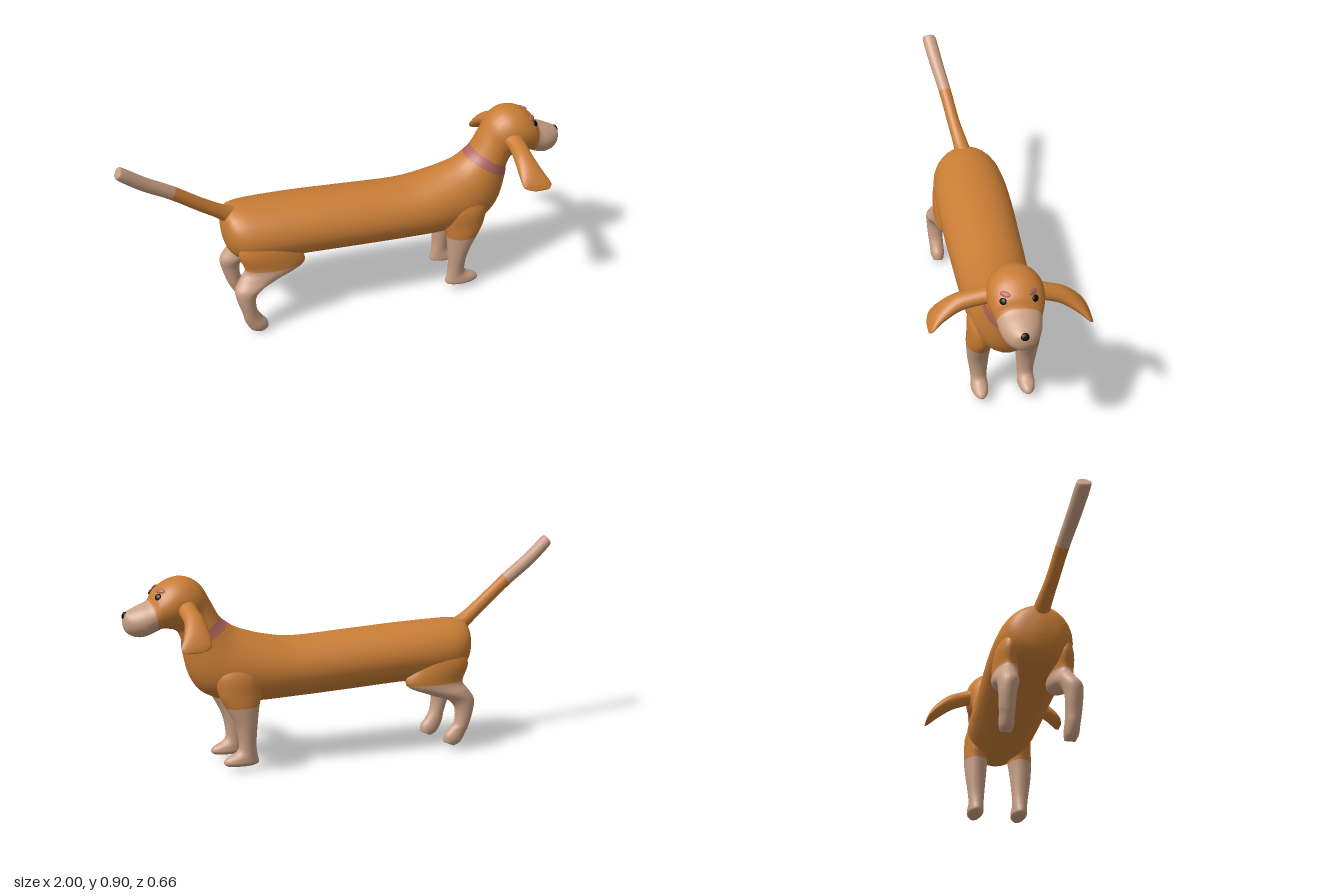
import * as THREE from 'three';

const flat = (color, name) => {
  const m = new THREE.MeshStandardMaterial({ color });
  m.name = name;
  return m;
};
const MID = -0.02; // z of the dog's middle plane
const SEGS = 28, SUBS = 5;

// Uniform Catmull-Rom between list entries
function blend(rows, i, t) {
  const at = (k) => rows[Math.min(Math.max(k, 0), rows.length - 1)];
  const [p, q, r, s] = [at(i - 1), at(i), at(i + 1), at(i + 2)];
  return q.map((_, k) => 0.5 * (2 * q[k] + (r[k] - p[k]) * t
    + (2 * p[k] - 5 * q[k] + 4 * r[k] - s[k]) * t * t
    + (3 * q[k] - p[k] - 3 * r[k] + s[k]) * t * t * t));
}

// Smooth skin over oval rings. Row: [x1, y1, x2, y2, halfWidth, z];
// the two points are opposite ends of the oval, widthDir its other axis.
// bands: [[firstRow, material], ...]
function loft(name, rows, bands, widthDir = [0, 0, 1]) {
  const pos = [], index = [], starts = [];
  const n = (rows.length - 1) * SUBS;
  for (let j = 0; j <= n; j++) {
    const i = Math.min(Math.floor(j / SUBS), rows.length - 2);
    const [x1, y1, x2, y2, w, z] = blend(rows, i, j / SUBS - i);
    for (let k = 0; k < SEGS; k++) {
      const a = (k / SEGS) * Math.PI * 2, c = Math.cos(a) / 2, s = Math.sin(a) * Math.max(w, 0.001);
      pos.push((x1 + x2) / 2 + (x1 - x2) * c + widthDir[0] * s,
        (y1 + y2) / 2 + (y1 - y2) * c + widthDir[1] * s, z + widthDir[2] * s);
    }
  }
  // End centres
  for (const r of [rows[0], rows[rows.length - 1]]) pos.push((r[0] + r[2]) / 2, (r[1] + r[3]) / 2, r[5]);
  const c0 = (n + 1) * SEGS;
  for (let k = 0; k < SEGS; k++) index.push(c0, (k + 1) % SEGS, k);
  for (let j = 0; j < n; j++) {
    starts.push(index.length);
    for (let k = 0; k < SEGS; k++) {
      const a = j * SEGS + k, b = j * SEGS + (k + 1) % SEGS;
      index.push(a, b, a + SEGS, b, b + SEGS, a + SEGS);
    }
  }
  for (let k = 0; k < SEGS; k++) index.push(c0 + 1, n * SEGS + k, n * SEGS + (k + 1) % SEGS);
  // Turn the faces outward if the volume is negative
  const P = (i) => new THREE.Vector3().fromArray(pos, i * 3);
  let volume = 0;
  for (let f = 0; f < index.length; f += 3) volume += P(index[f]).dot(P(index[f + 1]).cross(P(index[f + 2])));
  if (volume < 0) for (let f = 0; f < index.length; f += 3) [index[f], index[f + 1]] = [index[f + 1], index[f]];

  const geo = new THREE.BufferGeometry();
  geo.setAttribute('position', new THREE.Float32BufferAttribute(pos, 3));
  geo.setIndex(index);
  geo.computeVertexNormals();
  bands.forEach(([row], b) => {
    const from = b === 0 ? 0 : starts[row * SUBS];
    const to = b + 1 < bands.length ? starts[bands[b + 1][0] * SUBS] : index.length;
    geo.addGroup(from, to - from, b);
  });
  const mesh = new THREE.Mesh(geo, bands.map((b) => b[1]));
  mesh.name = name;
  return mesh;
}

// Thin oval patch facing along a normal
function patch(name, mat, p, normal, rx, ry, depth) {
  const mesh = new THREE.Mesh(new THREE.SphereGeometry(1, 16, 10), mat);
  mesh.name = name;
  mesh.scale.set(rx, ry, depth);
  mesh.position.set(...p);
  mesh.lookAt(p[0] + normal[0], p[1] + normal[1], p[2] + normal[2]);
  return mesh;
}

export function createModel() {
  const coat = flat(0xc97d35, 'orange coat');
  const pale = flat(0xc99f84, 'pale fur');
  const pink = flat(0xb0645c, 'dusty pink');
  const black = flat(0x0c0b0a, 'black');
  const dog = new THREE.Group();
  dog.name = 'dog';

  // Trunk, neck, head and muzzle in one skin, with the collar as a band
  const trunk = [
    [-0.553, 0.48, -0.55, 0.43, 0.02], [-0.54, 0.55, -0.525, 0.36, 0.10],
    [-0.49, 0.572, -0.46, 0.315, 0.145], [-0.38, 0.572, -0.37, 0.31, 0.162],
    [-0.2, 0.566, -0.2, 0.308, 0.166], [0, 0.556, 0, 0.298, 0.162],
    [0.25, 0.545, 0.27, 0.286, 0.155], [0.38, 0.563, 0.46, 0.283, 0.15],
    [0.46, 0.585, 0.63, 0.315, 0.138], [0.515, 0.605, 0.71, 0.39, 0.122],
    [0.555, 0.63, 0.745, 0.515, 0.106], [0.59, 0.662, 0.748, 0.563, 0.1],
    [0.63, 0.735, 0.765, 0.6, 0.095], [0.668, 0.797, 0.785, 0.612, 0.108],
    [0.73, 0.833, 0.8, 0.617, 0.115], [0.80, 0.826, 0.82, 0.62, 0.112],
    [0.86, 0.785, 0.84, 0.62, 0.1], [0.887, 0.742, 0.855, 0.613, 0.09],
    [0.93, 0.723, 0.91, 0.592, 0.08], [0.97, 0.705, 0.955, 0.596, 0.06],
    [0.99, 0.692, 0.985, 0.618, 0.036], [0.996, 0.668, 0.996, 0.65, 0.006],
  ].map((r) => [...r, MID]);
  dog.add(loft('bodyAndHead', trunk, [[0, coat], [10, pink], [11, coat], [17, pale]]));

  // Tail, swung a little to the left, with a pale tip
  dog.add(loft('tail', [
    [-0.46, 0.56, -0.5, 0.46, 0.04, -0.02], [-0.53, 0.585, -0.565, 0.53, 0.034, -0.01],
    [-0.63, 0.652, -0.66, 0.602, 0.028, 0.01], [-0.75, 0.742, -0.78, 0.693, 0.028, 0.03],
    [-0.87, 0.822, -0.9, 0.772, 0.03, 0.052], [-0.965, 0.895, -0.995, 0.85, 0.031, 0.07],
    [-0.978, 0.9, -1.0, 0.868, 0.02, 0.072],
  ], [[0, coat], [3, pale]]));

  for (const side of [1, -1]) {
    const label = side > 0 ? 'left' : 'right';
    const z = (s, k = 1) => MID + side * s * k;

    // Front leg
    dog.add(loft(label + 'FrontLeg', [
      [0.44, 0.5, 0.6, 0.5, 0.03, z(0.075)], [0.42, 0.42, 0.63, 0.42, 0.055, z(0.092)],
      [0.43, 0.34, 0.62, 0.34, 0.056, z(0.097)], [0.445, 0.285, 0.59, 0.28, 0.053, z(0.102)],
      [0.455, 0.2, 0.55, 0.2, 0.046, z(0.103)], [0.46, 0.12, 0.535, 0.12, 0.037, z(0.101)],
      [0.456, 0.075, 0.545, 0.085, 0.034, z(0.1)], [0.45, 0.05, 0.59, 0.06, 0.036, z(0.1)],
      [0.45, 0.034, 0.602, 0.04, 0.035, z(0.1)], [0.465, 0.025, 0.59, 0.027, 0.024, z(0.1)],
    ], [[0, coat], [3, pale]]));

    // Hind leg with a bent hock
    const k = side > 0 ? 1.08 : 0.93, up = side > 0 ? 0 : 0.02;
    dog.add(loft(label + 'HindLeg', [
      [-0.49, 0.47, -0.3, 0.47, 0.03, z(0.11)], [-0.51, 0.39, -0.25, 0.39, 0.05, z(0.115)],
      [-0.485, 0.315, -0.22, 0.312, 0.052, z(0.115)], [-0.51, 0.275, -0.33, 0.262, 0.05, z(0.122)],
      [-0.538, 0.23, -0.41, 0.235, 0.045, z(0.13, k)], [-0.53, 0.175, -0.447, 0.195, 0.038, z(0.135, k)],
      [-0.51, 0.11, -0.447, 0.13, 0.034, z(0.135, k)], [-0.5, 0.065 + up, -0.425, 0.085 + up, 0.032, z(0.133, k)],
      [-0.475, 0.02 + up, -0.402, 0.055 + up, 0.031, z(0.132, k)],
      [-0.445, 0.003 + up, -0.396, 0.025 + up, 0.022, z(0.13, k)],
    ], [[0, coat], [2, pale]]));

    // Drooping ear spread out sideways
    const e = side > 0 ? 1 : 0.89, drop = side > 0 ? 0 : 0.03;
    dog.add(loft(label + 'Ear', [
      [0.08, 0.72, 0.7, 0.79, 0.036], [0.14, 0.71, 0.708, 0.785, 0.034],
      [0.22, 0.69, 0.7, 0.785, 0.033], [0.29, 0.652, 0.695, 0.805, 0.027],
      [0.33, 0.62, 0.7, 0.825, 0.015], [0.346, 0.604, 0.74, 0.81, 0.003],
    ].map(([s, y, x1, x2, w]) => {
      const yy = y - drop * (s - 0.08) / 0.266;
      return [x1, yy, x2, yy, w, z(s, e)];
    }), [[0, coat]], [0, 0.94, side * 0.34]));

    // Eye and pink brow
    dog.add(patch(label + 'Eye', black, [0.859, 0.764, z(0.063)], [0.65, 0.5, side * 0.57], 0.015, 0.014, 0.007));
    dog.add(patch(label + 'Brow', pink, [0.846, 0.787, z(0.053)], [0.58, 0.68, side * 0.45], 0.023, 0.011, 0.006));
  }

  // Nose
  dog.add(patch('nose', black, [0.987, 0.685, MID], [0.9, 0.42, 0], 0.018, 0.016, 0.01));
  return dog;
}
